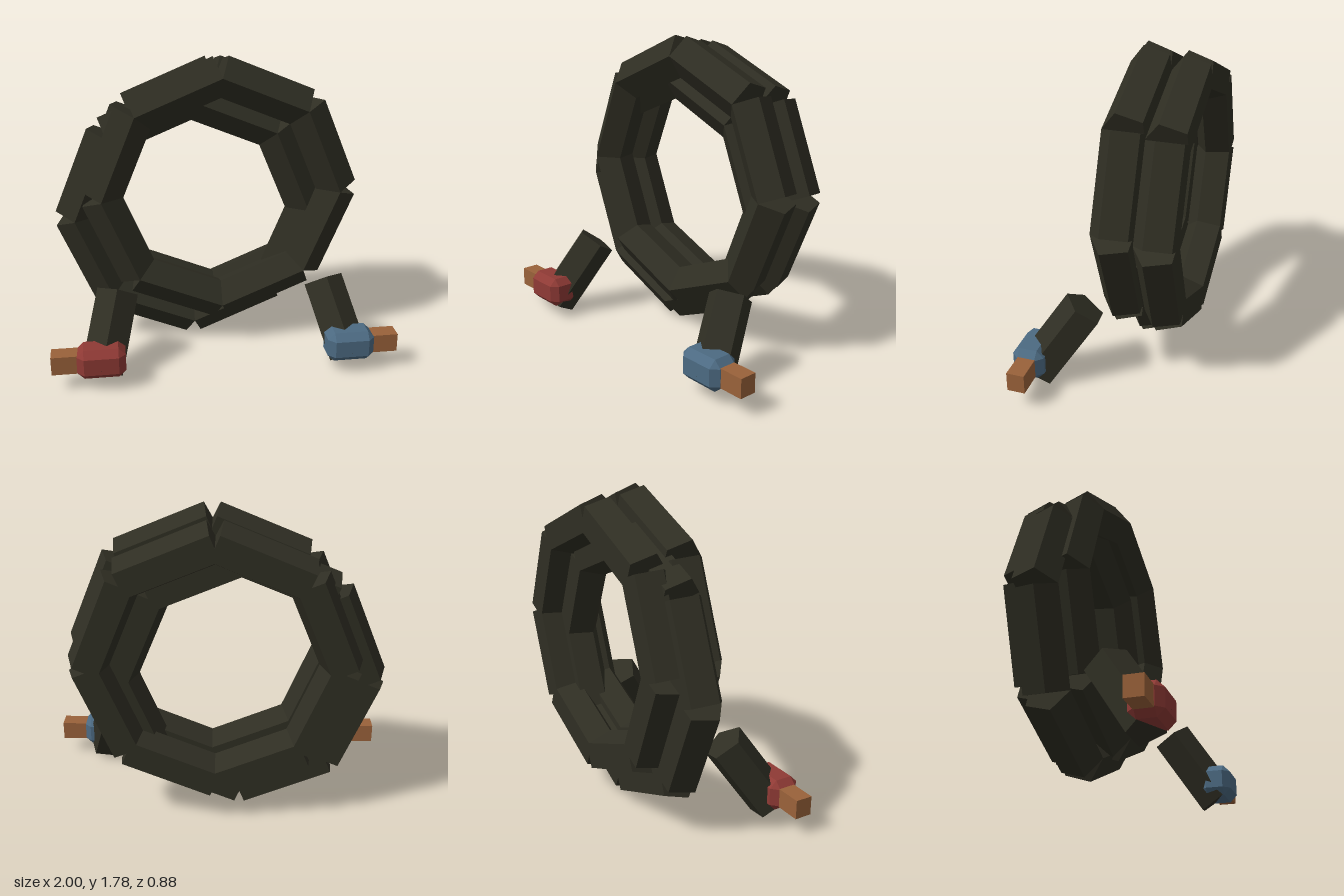
import * as THREE from 'three';
import { ConvexGeometry } from 'three/addons/geometries/ConvexGeometry.js';

const mat = (name, color) => {
  const m = new THREE.MeshStandardMaterial({ color, flatShading: true });
  m.name = name;
  return m;
};

// Five-sided straight cable piece from a to b, one edge turned towards `edge`
function cablePiece(a, b, edge, material, name) {
  const along = b.clone().sub(a);
  const length = along.length();
  along.normalize();
  const z = edge.clone().addScaledVector(along, -edge.dot(along)).normalize();
  const x = new THREE.Vector3().crossVectors(along, z);
  const mesh = new THREE.Mesh(new THREE.CylinderGeometry(0.125, 0.125, length, 5), material);
  mesh.quaternion.setFromRotationMatrix(new THREE.Matrix4().makeBasis(x, along, z));
  mesh.position.copy(a).add(b).multiplyScalar(0.5);
  mesh.name = name;
  return mesh;
}

// Box with every edge and corner cut off
function chamferedBox(w, h, d, c) {
  const points = [];
  for (const i of [-0.5, 0.5]) for (const j of [-0.5, 0.5]) for (const k of [-0.5, 0.5]) {
    const full = [w * i, h * j, d * k];
    const cut = [i, j, k].map((s, n) => full[n] - Math.sign(s) * c);
    for (let n = 0; n < 3; n++) {
      points.push(new THREE.Vector3(...cut.map((v, m) => (m === n ? full[m] : v))));
    }
  }
  return new ConvexGeometry(points);
}

export function createModel() {
  const model = new THREE.Group();
  model.name = 'cableCoil';
  const cable = mat('darkCable', 0x2f2e23);
  const copper = mat('copper', 0x9a623a);
  const red = mat('redClamp', 0x8f3a35);
  const blue = mat('blueClamp', 0x4c6a82);

  // Three stacked eight-piece loops: centre x, y, z
  const front = new THREE.Vector3(0, 0, 1);
  const loops = [[0.02, 0.98, -0.12], [-0.14, 0.83, -0.225], [0, 0.94, -0.34]];
  loops.forEach(([cx, cy, cz], n) => {
    const loop = new THREE.Group();
    loop.name = `loop${n + 1}`;
    const corner = (i) => new THREE.Vector3(
      cx + 0.7 * Math.cos(i * Math.PI / 4), cy + 0.7 * Math.sin(i * Math.PI / 4), cz);
    for (let i = 0; i < 8; i++) {
      loop.add(cablePiece(corner(i), corner(i + 1), front, cable, 'loopPiece'));
    }
    model.add(loop);
  });

  // Cable ends, each with a coloured clamp and a copper tip
  for (const [side, material, name] of [[1, blue, 'left'], [-1, red, 'right']]) {
    const end = new THREE.Group();
    end.name = `${name}End`;
    end.add(cablePiece(
      new THREE.Vector3(side * 0.61, 0.455, 0.08),
      new THREE.Vector3(side * 0.72, 0.075, 0.33),
      new THREE.Vector3(0, 0.6, 0.8), cable, 'endPiece'));

    const clamp = new THREE.Mesh(chamferedBox(0.275, 0.18, 0.18, 0.04), material);
    clamp.position.set(side * 0.72, 0.17, 0.343);
    clamp.name = 'clamp';

    const tip = new THREE.Mesh(new THREE.BoxGeometry(0.2, 0.11, 0.1), copper);
    tip.position.set(side * 0.9, 0.17, 0.34);
    tip.name = 'copperTip';
    end.add(clamp, tip);
    model.add(end);
  }
  return model;
}
